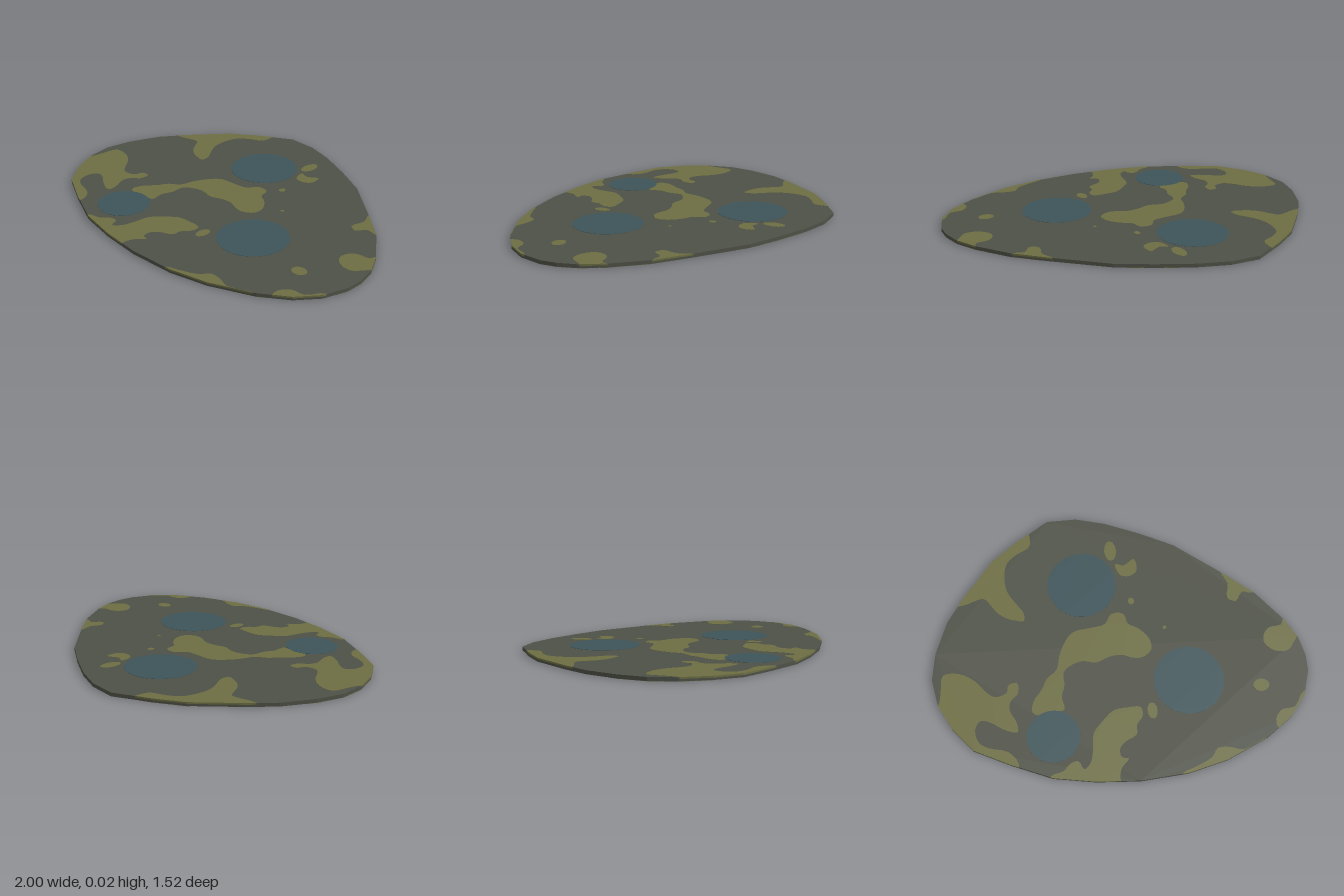
import * as THREE from 'three';

const mat = (name, color) => {
  const m = new THREE.MeshStandardMaterial({ color });
  m.name = name;
  return m;
};

// Convex outline of the slab, as [x, z]
const OUTLINE = [
  [-0.32, -0.763], [-0.16, -0.763], [0, -0.72], [0.19, -0.64], [0.37, -0.55], [0.62, -0.355], [0.78, -0.22],
  [0.91, -0.06], [0.975, 0.055], [1, 0.16], [1, 0.25], [0.96, 0.38], [0.875, 0.49], [0.735, 0.59], [0.51, 0.69],
  [0.3, 0.74], [0.05, 0.757], [-0.18, 0.74], [-0.4, 0.7], [-0.61, 0.61], [-0.8, 0.515], [-0.905, 0.39],
  [-0.975, 0.25], [-1, 0.11], [-0.975, -0.035], [-0.905, -0.21], [-0.81, -0.345], [-0.64, -0.55], [-0.505, -0.65],
];

// Olive patches; those at the rim run past it and are clipped
const PATCHES = {
  backRightPatch: [[-0.425, -0.64], [-0.44, -0.61], [-0.5, -0.58], [-0.56, -0.53], [-0.58, -0.45], [-0.57, -0.36],
    [-0.53, -0.29], [-0.49, -0.23], [-0.49, -0.18], [-0.53, -0.185], [-0.585, -0.205], [-0.63, -0.24],
    [-0.665, -0.29], [-0.7, -0.33], [-0.755, -0.32], [-0.8, -0.305], [-0.88, -0.3], [-1, -0.35], [-0.7, -0.7], [-0.45, -0.75]],
  frontRightPatch: [[-0.94, 0.09], [-0.85, 0.09], [-0.77, 0.14], [-0.72, 0.2], [-0.675, 0.235], [-0.61, 0.22],
    [-0.595, 0.175], [-0.55, 0.17], [-0.55, 0.23], [-0.585, 0.26], [-0.6, 0.31], [-0.565, 0.39], [-0.565, 0.44],
    [-0.64, 0.415], [-0.7, 0.375], [-0.755, 0.36], [-0.785, 0.405], [-0.77, 0.475], [-0.72, 0.51], [-0.62, 0.54],
    [-0.57, 0.61], [-0.6, 0.68], [-0.9, 0.6], [-1.05, 0.35], [-0.97, 0.25], [-0.955, 0.17]],
  middlePatch: [[-0.48, 0.34], [-0.47, 0.28], [-0.42, 0.215], [-0.39, 0.16], [-0.335, 0.115], [-0.315, 0.04],
    [-0.28, -0.035], [-0.23, -0.09], [-0.13, -0.105], [-0.055, -0.12], [-0.015, -0.175], [0.05, -0.17],
    [0.07, -0.11], [0.12, -0.08], [0.175, -0.015], [0.18, 0.05], [0.125, 0.09], [0.07, 0.085], [0.02, 0.065],
    [-0.05, 0.07], [-0.12, 0.095], [-0.195, 0.08], [-0.26, 0.1], [-0.3, 0.135], [-0.3, 0.205], [-0.32, 0.27],
    [-0.31, 0.34], [-0.37, 0.345], [-0.44, 0.36]],
  frontPatch: [[-0.41, 0.69], [-0.345, 0.67], [-0.3, 0.63], [-0.26, 0.625], [-0.235, 0.67], [-0.2, 0.64],
    [-0.18, 0.565], [-0.17, 0.485], [-0.12, 0.425], [-0.055, 0.37], [0.02, 0.36], [0.09, 0.365], [0.095, 0.415],
    [0.06, 0.46], [0.055, 0.51], [-0.01, 0.545], [-0.04, 0.58], [-0.035, 0.625], [0, 0.635], [-0.04, 0.68],
    [-0.055, 0.73], [-0.05, 0.8], [-0.42, 0.8]],
  frontLeftPatch: [[0.27, 0.74], [0.33, 0.715], [0.43, 0.67], [0.465, 0.625], [0.53, 0.625], [0.6, 0.645],
    [0.75, 0.59], [0.8, 0.65], [0.5, 0.78], [0.28, 0.8]],
  leftFrontPatch: [[0.8, 0.555], [0.79, 0.5], [0.83, 0.45], [0.9, 0.44], [0.96, 0.36], [1.05, 0.4], [0.9, 0.65]],
  leftPatch: [[0.91, -0.06], [0.895, -0.025], [0.83, -0.015], [0.795, 0.02], [0.79, 0.07], [0.84, 0.12],
    [0.91, 0.125], [0.95, 0.08], [0.975, 0.05], [1.05, 0], [0.95, -0.12]],
  leftBackPatch: [[0.61, -0.37], [0.64, -0.29], [0.625, -0.21], [0.67, -0.185], [0.71, -0.235], [0.77, -0.225],
    [0.85, -0.3], [0.68, -0.45]],
  backFleck: [[0.035, -0.47], [0.08, -0.455], [0.14, -0.49], [0.15, -0.42], [0.11, -0.39], [0.055, -0.4]],
};

// Small olive flecks: x, z, radius x, radius z
const FLECKS = [[0.015, -0.55, 0.033, 0.06], [0.1, -0.24, 0.017, 0.02], [0.265, -0.07, 0.01, 0.01],
  [0.74, 0.305, 0.043, 0.035], [0.15, 0.39, 0.027, 0.045]];

// Blue spots: x, z, radius
const SPOTS = [[-0.16, -0.36, 0.187], [0.36, 0.24, 0.187], [-0.38, 0.48, 0.14]];

const ellipse = (x, z, rx, rz, n) => Array.from({ length: n }, (_, i) => {
  const a = (i / n) * Math.PI * 2;
  return [x + rx * Math.cos(a), z + rz * Math.sin(a)];
});

// Rounds a closed ring of points
const smooth = (pts) => new THREE.CatmullRomCurve3(pts.map(([x, z]) => new THREE.Vector3(x, 0, z)), true)
  .getPoints(pts.length * 3).slice(0, -1).map((p) => [p.x, p.z]);

// Keeps the part of a ring that lies inside the convex outline
function clip(ring) {
  const edge = OUTLINE.map(([x, z]) => [x * 1.0006, z * 1.0006]);
  edge.forEach((a, i) => {
    const b = edge[(i + 1) % edge.length];
    const side = (p) => (b[0] - a[0]) * (p[1] - a[1]) - (b[1] - a[1]) * (p[0] - a[0]);
    const out = [];
    ring.forEach((p, j) => {
      const q = ring[(j + 1) % ring.length];
      const sp = side(p), sq = side(q);
      if (sp >= 0) out.push(p);
      if (sp >= 0 !== sq >= 0) {
        const t = sp / (sp - sq);
        out.push([p[0] + t * (q[0] - p[0]), p[1] + t * (q[1] - p[1])]);
      }
    });
    ring = out;
  });
  return ring;
}

// The underside carries the same pattern mirrored, turned and slightly enlarged
const TURN = THREE.MathUtils.degToRad(36), GROW = 1.095;
const toUnderside = ([x, z]) => [
  GROW * (x * Math.cos(TURN) + z * Math.sin(TURN)) - 0.1,
  GROW * (x * Math.sin(TURN) - z * Math.cos(TURN)) + 0.092,
];

// Flat plate from a ring of [x, z], between two heights
function plate(name, ring, y0, y1, material) {
  const shape = new THREE.Shape(ring.map(([x, z]) => new THREE.Vector2(x, z)));
  const geo = new THREE.ExtrudeGeometry(shape, { depth: y1 - y0, bevelEnabled: false });
  geo.rotateX(Math.PI / 2).translate(0, y1, 0);
  const mesh = new THREE.Mesh(geo, material);
  mesh.name = name;
  return mesh;
}

export function createModel() {
  const grey = mat('grey green', 0x4e5146);
  const olive = mat('olive', 0x6d6e43);
  const blue = mat('slate blue', 0x3d5459);
  const model = new THREE.Group();
  model.name = 'patternedSlab';

  model.add(plate('slab', OUTLINE, 0.0015, 0.0205, grey));

  const patches = Object.entries(PATCHES).map(([name, pts]) => [name, smooth(pts)]);
  FLECKS.forEach((f, i) => patches.push([`fleck${i + 1}`, ellipse(...f, 12)]));
  const spots = SPOTS.map(([x, z, r], i) => [`spot${i + 1}`, ellipse(x, z, r, r, 40)]);

  // Pattern on the top (reaching halfway down the rim) and on the underside
  const layers = [
    { list: patches, material: olive, top: [0.0125, 0.0213], under: [0.0007, 0.0017] },
    { list: spots, material: blue, top: [0.0195, 0.022], under: [0, 0.0017] },
  ];
  for (const { list, material, top, under } of layers) {
    for (const [name, ring] of list) {
      const upper = clip(ring);
      const lower = clip(ring.map(toUnderside));
      if (upper.length > 2) model.add(plate(`${name}Top`, upper, ...top, material));
      if (lower.length > 2) model.add(plate(`${name}Underside`, lower, ...under, material));
    }
  }
  return model;
}
